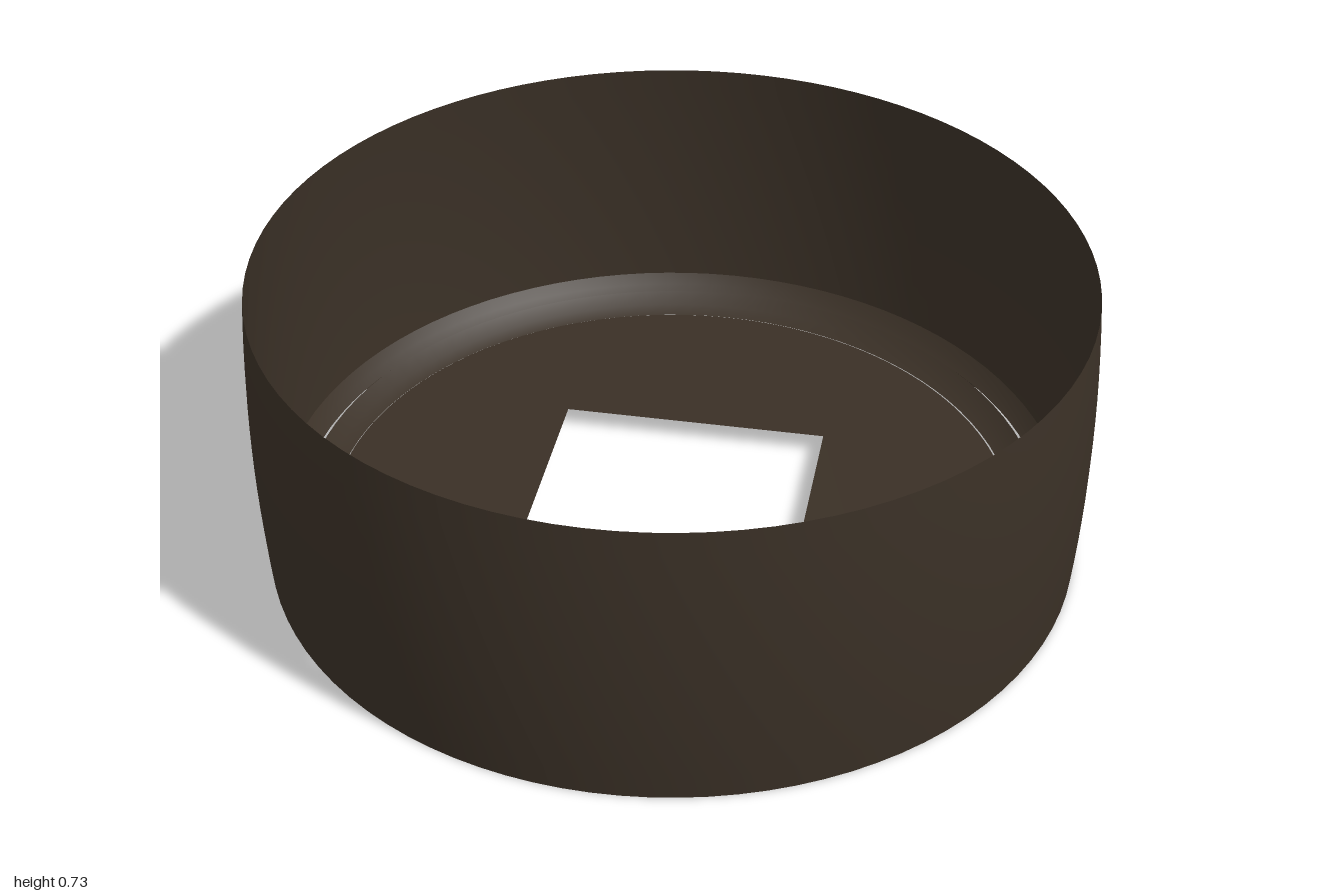
import * as THREE from 'three';

export function createModel() {
  const model = new THREE.Group();
  const darkBrown = new THREE.MeshStandardMaterial({ color: 0x3a3026, side: THREE.DoubleSide });
  darkBrown.name = 'darkBrown';

  const add = (name, geometry) => {
    const mesh = new THREE.Mesh(geometry, darkBrown);
    mesh.name = name;
    model.add(mesh);
    return mesh;
  };
  const revolve = (points) =>
    new THREE.LatheGeometry(points.map(([r, y]) => new THREE.Vector2(r, y)), 96);

  // Open outer band, bulging slightly at mid height
  const height = 0.725;
  const bandProfile = [];
  for (let i = 0; i <= 12; i++) {
    const t = i / 12;
    bandProfile.push([0.985 + 0.015 * (1 - (2 * t - 1) ** 2), t * height]);
  }
  add('outerBand', revolve(bandProfile));

  // Two thin funnel-shaped rings nested inside the band
  add('outerLipRing', revolve([[0.915, 0.075], [0.935, 0.09], [0.955, 0.115]]));
  add('innerLipRing', revolve([[0.838, 0.053], [0.87, 0.065], [0.9, 0.09]]));

  // Flat base plate with a square opening
  const plate = new THREE.Shape();
  plate.absarc(0, 0, 0.834, 0, Math.PI * 2, false);
  const h = 0.333;
  const opening = new THREE.Path();
  opening.moveTo(-h, -h);
  opening.lineTo(-h, h);
  opening.lineTo(h, h);
  opening.lineTo(h, -h);
  opening.closePath();
  plate.holes.push(opening);
  const base = add('basePlate', new THREE.ShapeGeometry(plate, 96).rotateX(-Math.PI / 2));
  base.position.set(-0.002, 0.053, -0.003);

  return model;
}
